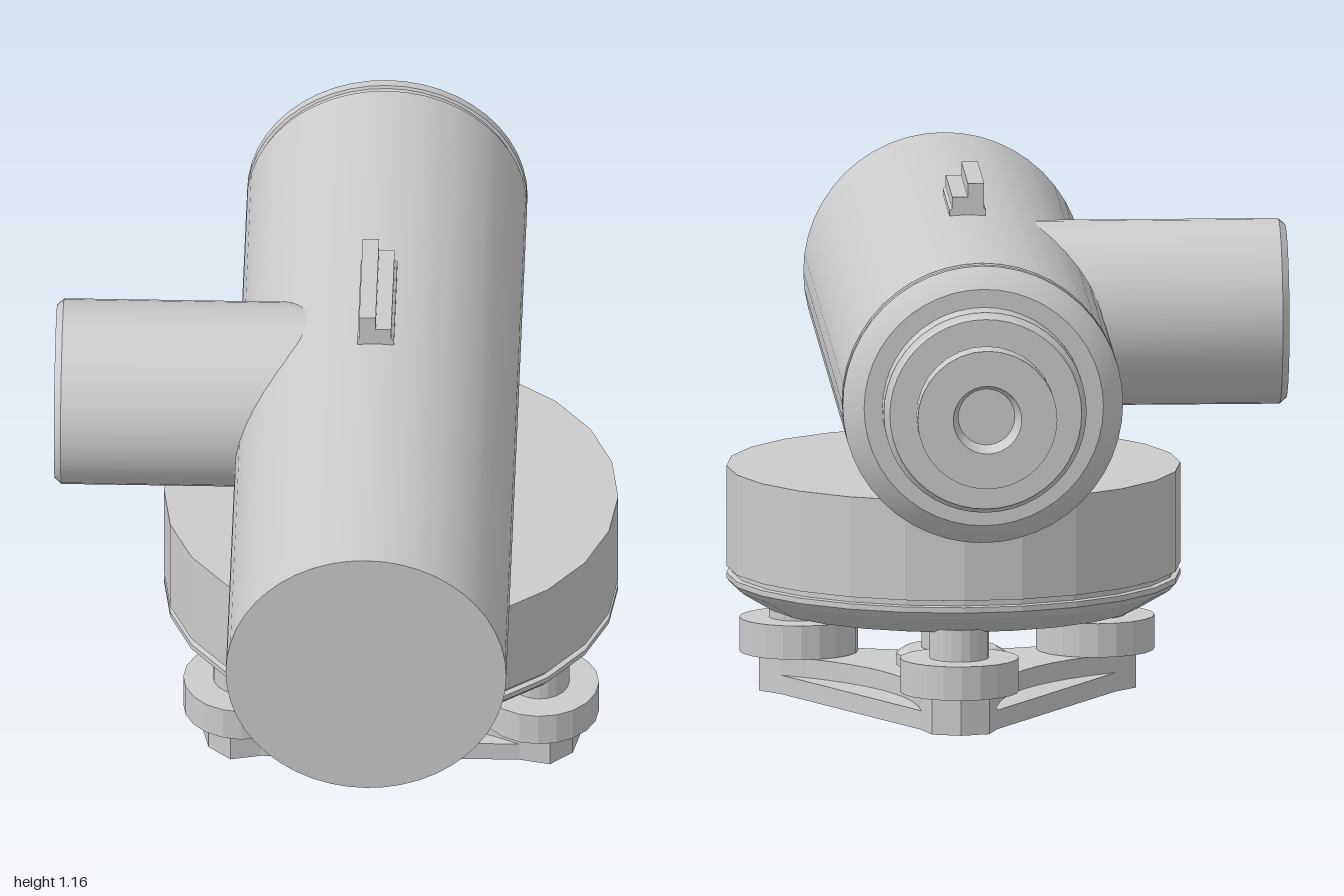
import * as THREE from 'three';
import { toCreasedNormals } from 'three/addons/utils/BufferGeometryUtils.js';

const material = new THREE.MeshStandardMaterial({ color: 0xcccccc });

// Turned part: profile of [radius, height] pairs, listed from bottom to top
function turned(profile, sides, crease) {
  const points = profile.map(([r, h]) => new THREE.Vector2(r, h));
  return toCreasedNormals(new THREE.LatheGeometry(points, sides), crease);
}

// Flat outline (x, -z) raised from y = bottom by a height
function slab(shape, bottom, height) {
  const g = new THREE.ExtrudeGeometry(shape, { depth: height, bevelEnabled: false, curveSegments: 10 });
  return g.rotateX(-Math.PI / 2).translate(0, bottom, 0);
}

export function createModel() {
  const group = new THREE.Group();
  const add = (name, geometry, x = 0, y = 0, z = 0) => {
    const mesh = new THREE.Mesh(geometry, material);
    mesh.name = name;
    mesh.position.set(x, y, z);
    group.add(mesh);
    return mesh;
  };
  const SMOOTH = 0.4, FLAT = 0.1;

  // Telescope barrel, pointing to +z, with stepped rear cap
  const barrel = turned([
    [0, -1], [0.307, -1], [0.307, 0.75], [0.301, 0.753], [0.301, 0.767], [0.307, 0.77],
    [0.307, 0.79], [0.295, 0.805], [0.262, 0.83], [0.222, 0.83], [0.222, 0.897], [0.214, 0.905],
    [0.21, 0.92], [0.08, 0.92], [0.08, 0.94], [0, 0.94],
  ], 48, SMOOTH).rotateX(-Math.PI / 2);
  add('telescopeBarrel', barrel, 0.09, 0.784, 0);

  // Hollow eyepiece
  const eyepiece = turned([
    [0, 0.933], [0.153, 0.933], [0.153, 1], [0.075, 1], [0.062, 0.955], [0, 0.955],
  ], 32, SMOOTH).rotateX(-Math.PI / 2);
  add('eyepiece', eyepiece, 0.09, 0.784, 0);

  // Side tube running out to -x
  const side = turned([
    [0, 0], [0.203, 0], [0.203, 0.688], [0.19, 0.703], [0, 0.703],
  ], 40, SMOOTH).rotateZ(Math.PI / 2);
  add('sideTube', side, 0.09, 0.847, 0.05);

  // Stepped sight rail on top
  const sight = new THREE.Shape([
    [0.05, 1.06], [0.13, 1.06], [0.13, 1.1], [0.124, 1.105], [0.124, 1.13],
    [0.09, 1.13], [0.09, 1.16], [0.054, 1.16], [0.054, 1.105], [0.05, 1.1],
  ].map(([x, y]) => new THREE.Vector2(x, y)));
  add('sightRail', new THREE.ExtrudeGeometry(sight, { depth: 0.295, bevelEnabled: false }), 0, 0, -0.103);

  // Faceted drum with a groove and bevelled foot
  const cx = 0.118, cz = -0.03;
  add('drum', turned([
    [0, 0.222], [0.415, 0.222], [0.482, 0.262], [0.497, 0.278], [0.497, 0.29], [0.485, 0.292],
    [0.485, 0.303], [0.497, 0.305], [0.497, 0.527], [0, 0.527],
  ], 24, FLAT), cx, 0, cz);

  // Centre post
  add('centrePost', turned([
    [0, 0.05], [0.12, 0.05], [0.12, 0.11], [0.1, 0.122], [0.065, 0.122],
    [0.065, 0.192], [0.13, 0.192], [0.13, 0.225], [0, 0.225],
  ], 20, FLAT), cx + 0.005, 0, cz);

  // Three levelling screws
  const reach = 0.375;
  const angles = [90, 210, 330].map(THREE.MathUtils.degToRad);
  const screw = turned([
    [0, 0.05], [0.065, 0.05], [0.065, 0.085], [0.13, 0.085], [0.13, 0.16],
    [0.065, 0.16], [0.065, 0.23], [0, 0.23],
  ], 20, FLAT);
  angles.forEach((a) => {
    add('levellingScrew', screw, cx + 0.005 + reach * Math.cos(a), 0, cz - reach * Math.sin(a));
  });

  // Outline with three blunt corners; sides bow towards the centre by `pull`
  function tripod(pull) {
    const shape = new THREE.Shape();
    const corner = (a) => [[0, -0.083], [0.065, -0.063], [0.085, 0], [0.065, 0.063], [0, 0.083]]
      .map(([u, v]) => [reach + u, v])
      .concat([])
      .map(([u, v]) => new THREE.Vector2(u * Math.cos(a) - v * Math.sin(a), u * Math.sin(a) + v * Math.cos(a)));
    const corners = angles.map(corner);
    shape.moveTo(corners[0][0].x, corners[0][0].y);
    corners.forEach((pts, i) => {
      pts.slice(1).forEach((p) => shape.lineTo(p.x, p.y));
      const from = pts[4], to = corners[(i + 1) % 3][0];
      const mid = from.clone().add(to).multiplyScalar(0.5 * (1 - pull));
      if (pull) shape.quadraticCurveTo(mid.x, mid.y, to.x, to.y);
      else shape.lineTo(to.x, to.y);
    });
    return shape;
  }

  // Triangular foot plate and the raised web with curved sides
  add('footPlate', slab(tripod(0), 0, 0.042), cx + 0.005, 0, cz);
  add('footWeb', slab(tripod(0.6), 0.04, 0.044), cx + 0.005, 0, cz);

  return group;
}
